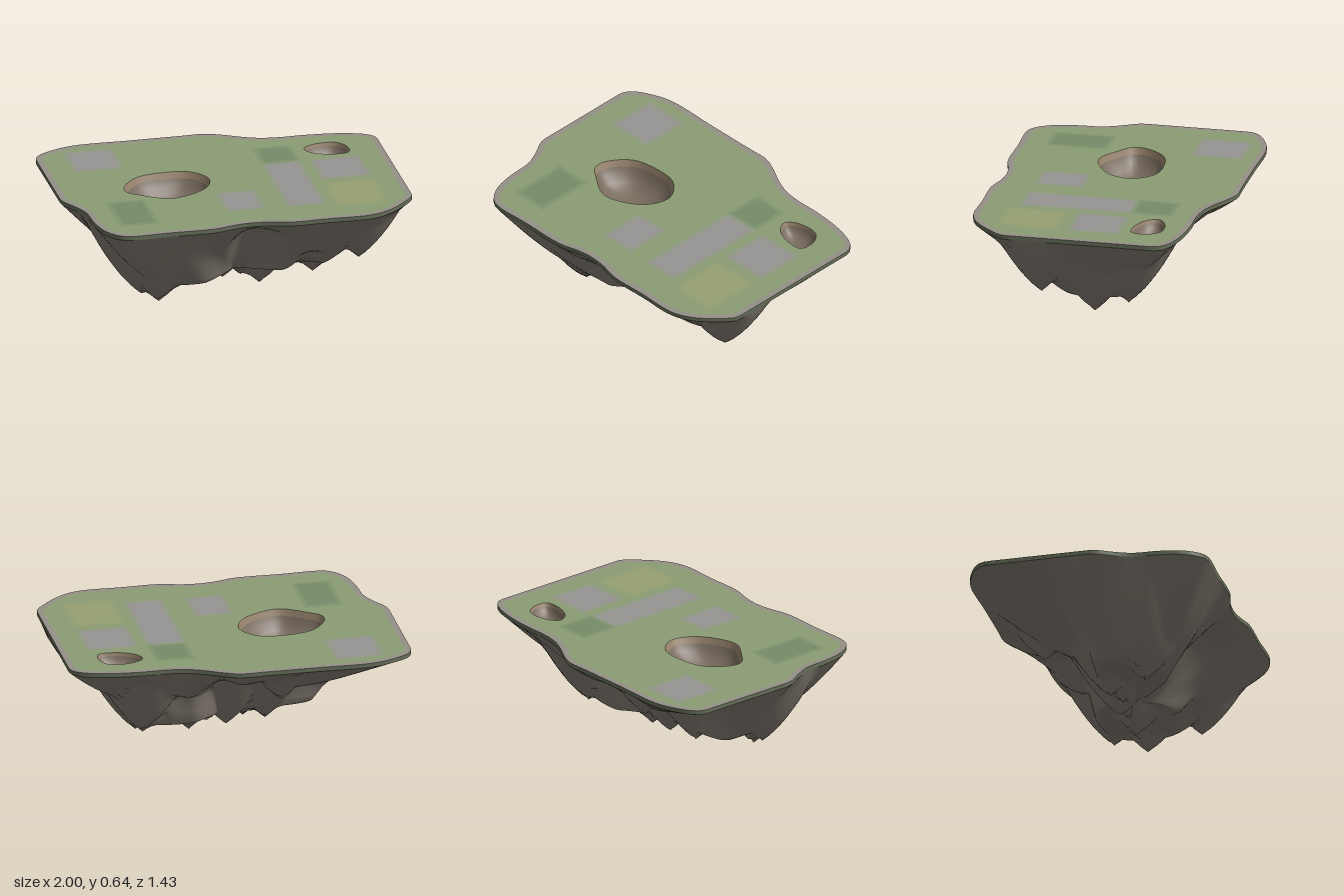
import * as THREE from 'three';

const TOP = 0.64, EDGE = 0.615, N = 160;
const { lerp, clamp, smoothstep } = THREE.MathUtils;

// closed smooth outline through [x, z] points, evenly resampled
function outline(flat, n) {
  const pts = [];
  for (let i = 0; i < flat.length; i += 2) pts.push(new THREE.Vector3(flat[i], 0, flat[i + 1]));
  const loop = new THREE.CatmullRomCurve3(pts, true).getSpacedPoints(n).slice(0, n);
  loop.forEach(p => { p.x = clamp(p.x, -1, 1); });
  return loop;
}

function addMesh(group, name, geometry, color) {
  const mesh = new THREE.Mesh(geometry, new THREE.MeshStandardMaterial({ color }));
  mesh.name = name;
  group.add(mesh);
}

// surface through a stack of equally long closed loops
function loft(rings) {
  const n = rings[0].length, pos = [], idx = [];
  rings.forEach(r => r.forEach(p => pos.push(p.x, p.y, p.z)));
  for (let r = 0; r < rings.length - 1; r++) {
    for (let i = 0; i < n; i++) {
      const a = r * n + i, b = r * n + (i + 1) % n;
      idx.push(a, b, a + n, b, b + n, a + n);
    }
  }
  const g = new THREE.BufferGeometry();
  g.setAttribute('position', new THREE.Float32BufferAttribute(pos, 3));
  g.setIndex(idx);
  g.computeVertexNormals();
  return g;
}

// flat upward-facing sheet with holes
function sheet(loop, holes, y) {
  const flat = l => l.map(p => new THREE.Vector2(p.x, -p.z));
  const shape = new THREE.Shape(flat(loop));
  holes.forEach(h => shape.holes.push(new THREE.Path(flat(h))));
  return new THREE.ShapeGeometry(shape).rotateX(-Math.PI / 2).translate(0, y, 0);
}

const COAST = [-0.74, -0.71, -0.4, -0.71, -0.1, -0.71, 0.04, -0.71, 0.12, -0.68, 0.25, -0.61,
  0.34, -0.575, 0.45, -0.56, 0.6, -0.56, 0.8, -0.54, 0.95, -0.49, 1, -0.43, 1, 0, 1, 0.47,
  0.96, 0.53, 0.82, 0.66, 0.7, 0.71, 0.45, 0.71, 0.22, 0.71, 0.1, 0.68, 0, 0.67, -0.1, 0.68,
  -0.22, 0.71, -0.5, 0.71, -0.74, 0.71, -0.8, 0.68, -0.86, 0.59, -0.89, 0.45, -0.9, 0.3,
  -0.94, 0.2, -1, 0.08, -1, -0.2, -1, -0.55, -0.97, -0.61, -0.87, -0.67];

const PITS = [
  { name: 'largePit', depth: 0.15, c: [-0.35, 0.01], pts: [-0.6, -0.02, -0.5, -0.15, -0.35, -0.19, -0.18, -0.17,
    -0.09, -0.05, -0.13, 0.08, -0.25, 0.17, -0.38, 0.2, -0.52, 0.12, -0.6, 0.05] },
  { name: 'smallPit', depth: 0.08, c: [0.68, -0.33], pts: [0.55, -0.36, 0.62, -0.41, 0.75, -0.41,
    0.8, -0.34, 0.79, -0.25, 0.7, -0.24, 0.58, -0.29] },
];

// hanging rock tips [x, z, y] and hollows [x, z, strength, radius]
const TIPS = [[-0.46, 0.26, 0.03], [-0.56, 0.24, 0.08], [-0.25, 0, 0.055], [-0.13, 0.05, 0.06], [-0.02, 0, 0.035],
  [0.08, 0.03, 0.055], [0.19, 0.045, 0], [0.38, 0, 0.075], [0.51, 0.03, 0.035],
  [0.51, -0.17, 0.1], [0.72, 0.3, 0.21], [-0.26, -0.39, 0.325]];
const HOLLOWS = [[0.08, 0.48, 0.55, 0.16], [0, -0.36, 0.4, 0.14], [0.42, 0.3, 0.2, 0.1]];
const HUB = new THREE.Vector3(0.03, 0, 0.06);

// height of the underside; t runs from the floor edge (0) to the rim (1)
function rockHeight(x, z, t) {
  const back = clamp((HUB.z - z) / 0.25, 0, 1);
  const slope = 0.475 * Math.pow(t, 1.05 + 0.3 * smoothstep(z, 0.2, 0.5) * smoothstep(-x, 0.1, 0.4));
  const shelf = t < 0.14 ? t * 1.4 : 0.196 + 0.279 * Math.pow((t - 0.14) / 0.86, 1.4);
  let y = 0.14 + lerp(slope, shelf, back);
  const a = Math.atan2(z, x);
  y += 0.07 * t * (1 - t) * (Math.sin(a * 9 + 1) + 0.6 * Math.sin(a * 17));
  for (const [hx, hz, h, r] of HOLLOWS) {
    y += Math.max(0, EDGE - y) * h * Math.exp(-((x - hx) ** 2 + (z - hz) ** 2) / (r * r));
  }
  for (const [px, pz, py] of TIPS) {
    const d = Math.hypot(x - px, z - pz);
    y = Math.min(y, py + 0.8 * d + 2 * d * d);
  }
  return y;
}

// edge of the rough floor towards a coast point: wide lobes left and right, narrow waist
function floorEdge(p) {
  const d = p.clone().sub(HUB);
  const a = d.x > 0 ? 0.53 : 0.57;
  const front = 0.08 + 0.19 * smoothstep(-p.x, 0.15, 0.55) + 0.14 * smoothstep(p.x, 0.3, 0.75);
  const rear = 0.12 + 0.15 * smoothstep(p.x, 0, 0.45);
  const b = d.z > 0 ? front : rear;
  return d.multiplyScalar(Math.pow((d.x / a) ** 4 + (d.z / b) ** 4, -0.25)).add(HUB);
}

function rockRings(coast) {
  const floor = coast.map(floorEdge);
  const rings = [];
  const WALL = 16, FLOOR = 10;
  for (let k = 0; k <= WALL; k++) {
    const t = 1 - k / WALL;
    rings.push(coast.map((p, i) => {
      const v = floor[i].clone().lerp(p, t);
      v.y = k === 0 ? EDGE : rockHeight(v.x, v.z, t);
      return v;
    }));
  }
  for (let k = 1; k <= FLOOR; k++) {
    rings.push(floor.map(p => {
      const v = p.clone().lerp(HUB, k / FLOOR);
      v.y = rockHeight(v.x, v.z, 0);
      return v;
    }));
  }
  // pull the nearest vertex onto each tip
  const all = rings.slice(1, -1).flat();
  for (const [x, z, y] of TIPS) {
    const dist = v => Math.hypot(v.x - x, v.z - z);
    all.reduce((m, v) => (dist(v) < dist(m) ? v : m)).set(x, y, z);
  }
  return rings;
}

export function createModel() {
  const island = new THREE.Group();
  island.name = 'floatingIsland';

  const coast = outline(COAST, N);
  const inner = coast.map((p, i) => {
    const d = coast[(i + 1) % N].clone().sub(coast[(i + N - 1) % N]).normalize();
    return new THREE.Vector3(p.x - d.z * 0.035, 0, p.z + d.x * 0.035);
  });
  const atHeight = (loop, y) => loop.map(p => new THREE.Vector3(p.x, y, p.z));

  // rock underside and thin mossy edge
  addMesh(island, 'rockUnderside', loft(rockRings(coast)), 0x827a70);
  addMesh(island, 'mossyEdge', loft([atHeight(coast, TOP), atHeight(coast, EDGE)]), 0x656d58);

  // flat top: stony border, then turf pierced by the pits
  const turf = new THREE.Color(0x8a9c73);
  const pitLoops = PITS.map(p => outline(p.pts, 48));
  addMesh(island, 'stonyBorder', sheet(coast, [inner], TOP), 0x959088);
  addMesh(island, 'turf', sheet(inner, pitLoops, TOP), turf);

  // pits: earthy lip and sunken bowl
  PITS.forEach((pit, n) => {
    const loop = [...pitLoops[n]].reverse();
    const ring = (s, y) => loop.map(p => new THREE.Vector3(
      pit.c[0] + (p.x - pit.c[0]) * s, TOP - y * pit.depth, pit.c[1] + (p.z - pit.c[1]) * s));
    addMesh(island, pit.name + 'Lip', loft([ring(1, 0), ring(0.93, 0.25)]), 0x94806a);
    addMesh(island, pit.name + 'Bowl', loft([ring(0.93, 0.25), ring(0.85, 0.5), ring(0.7, 0.75),
      ring(0.45, 0.95), ring(0.2, 1), ring(0, 1)]), 0x7a6d60);
  });

  // ground patches [name, colour, x, z, width, depth], each with a softer margin
  const patches = [
    ['pavedPatch', 0x979393, -0.68, -0.46, 0.26, 0.28], ['pavedPatch', 0x979393, 0.37, 0.15, 0.2, 0.64],
    ['pavedPatch', 0x979393, 0.69, -0.03, 0.27, 0.28], ['pavedPatch', 0x979393, 0.01, 0.33, 0.2, 0.26],
    ['dryPatch', 0x97a072, 0.69, 0.36, 0.28, 0.34], ['darkGrassPatch', 0x768c68, 0.37, -0.3, 0.2, 0.22],
    ['darkGrassPatch', 0x768c68, -0.64, 0.37, 0.2, 0.34],
  ];
  for (const [name, color, x, z, w, d] of patches) {
    const layer = (grow, lift) => new THREE.PlaneGeometry(w + grow, d + grow)
      .rotateX(-Math.PI / 2).translate(x, TOP + lift, z);
    addMesh(island, name + 'Margin', layer(0.03, 0.001), new THREE.Color(color).lerp(turf, 0.5));
    addMesh(island, name, layer(-0.02, 0.002), color);
  }
  return island;
}
